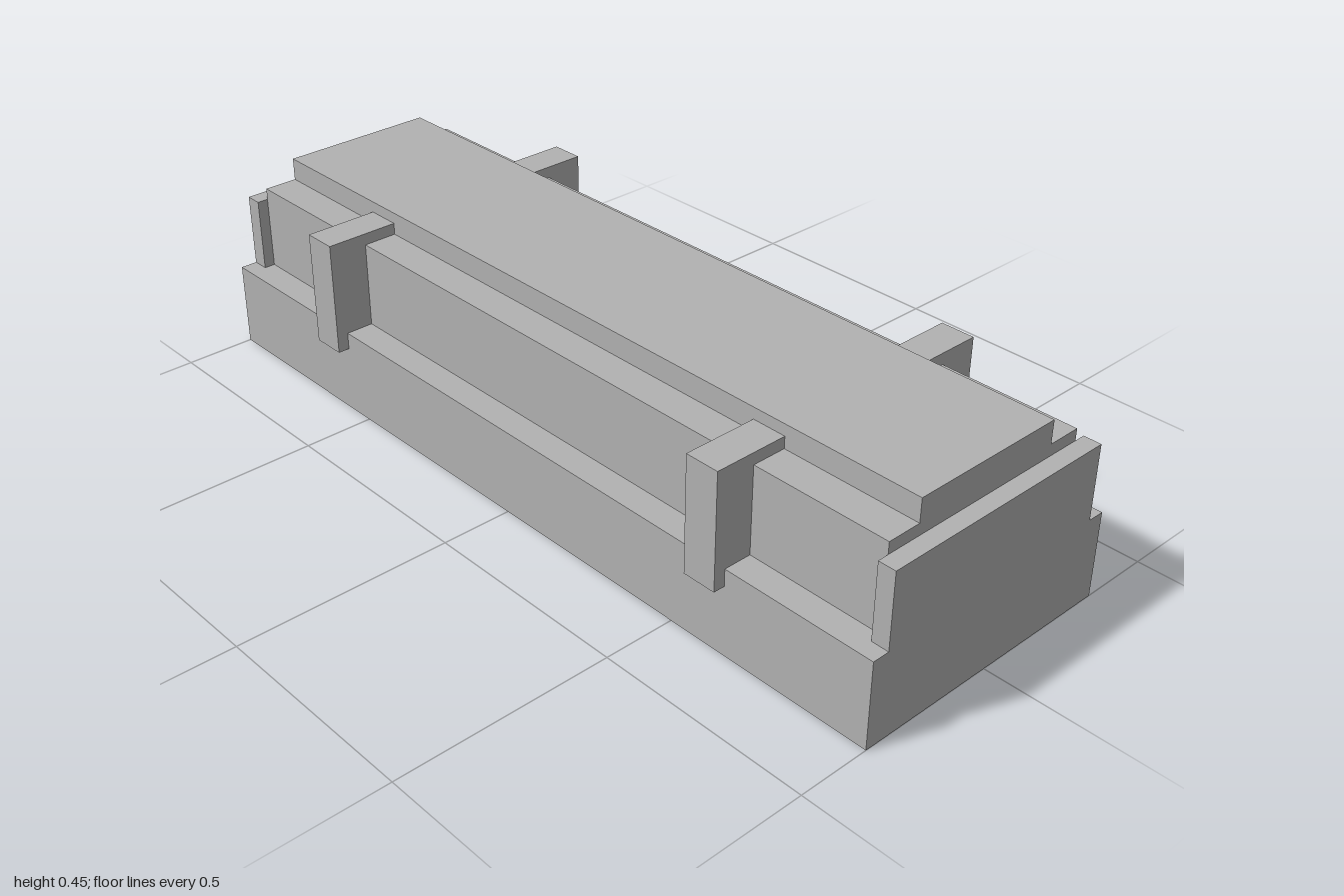
import * as THREE from 'three';

export function createModel() {
  const model = new THREE.Group();
  model.name = 'longChest';
  const stone = new THREE.MeshStandardMaterial({ color: 0xb2b2b2 });
  stone.name = 'plain grey';

  // Adds a box given by its lower and upper bounds on each axis
  function block(name, [x0, x1], [y0, y1], [z0, z1]) {
    const mesh = new THREE.Mesh(new THREE.BoxGeometry(x1 - x0, y1 - y0, z1 - z0), stone);
    mesh.position.set((x0 + x1) / 2, (y0 + y1) / 2, (z0 + z1) / 2);
    mesh.name = name;
    model.add(mesh);
  }
  // Symmetric range, and a range mirrored to either side
  const span = (h) => [-h, h];
  const side = (s, a, b) => (s > 0 ? [a, b] : [-b, -a]);

  // Stepped body
  block('base', span(0.333), [0, 0.2], span(1));
  block('body', span(0.267), [0.2, 0.4], span(0.96));
  block('lid', span(0.187), [0.4, 0.453], span(0.96));

  for (const sz of [1, -1]) {
    // End plates
    block(sz > 0 ? 'frontEndPlate' : 'backEndPlate', span(0.293), [0.2, 0.373], side(sz, 0.96, 1));

    // Clamps hooked over the body and down the sides of the base
    for (const sx of [1, -1]) {
      const name = (sz > 0 ? 'front' : 'back') + (sx > 0 ? 'Left' : 'Right') + 'Clamp';
      block(name, side(sx, 0.187, 0.36), [0.16, 0.427], side(sz, 0.56, 0.64));
    }
  }
  return model;
}
